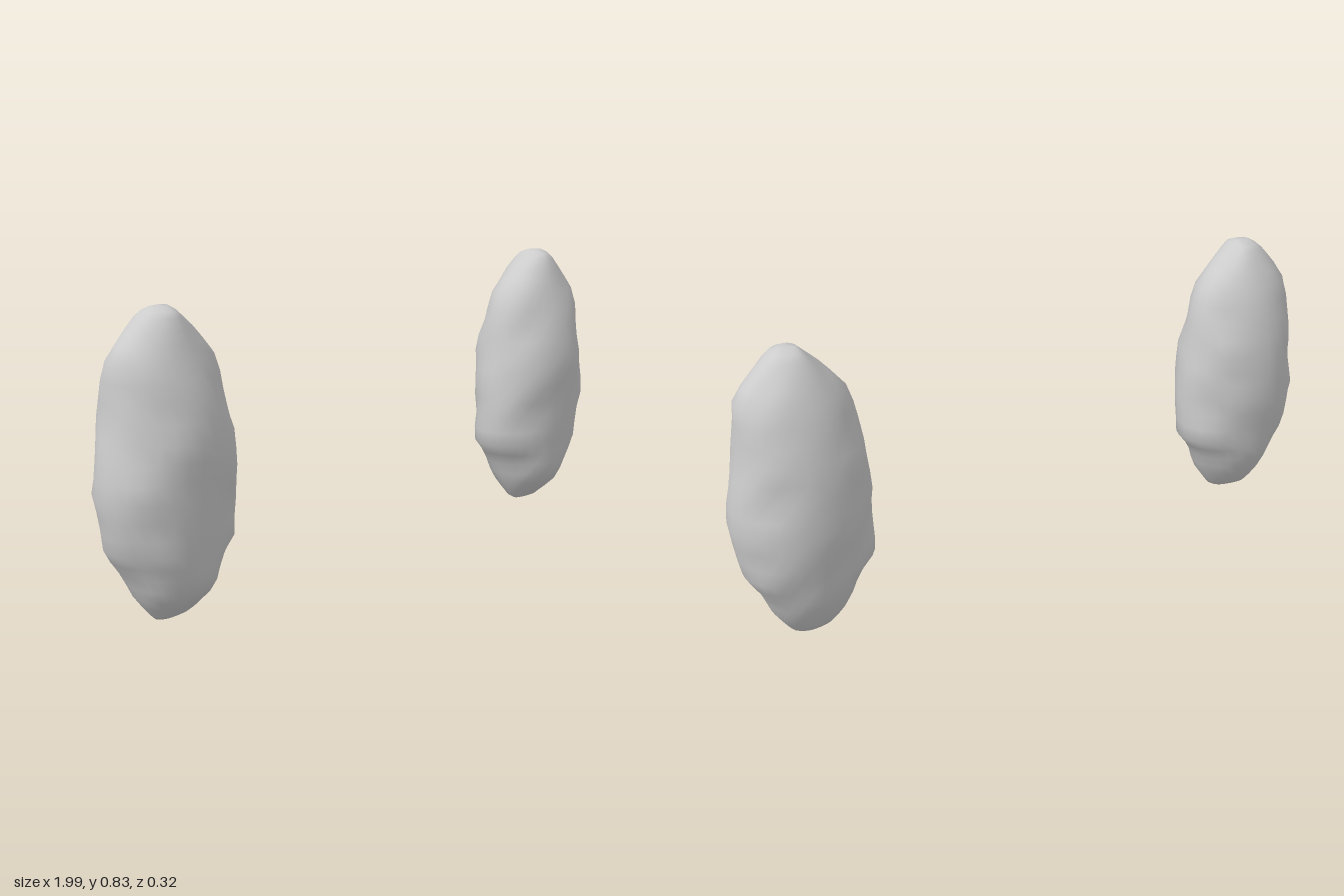
import * as THREE from 'three';

// Outline of one stone as [height, reach] pairs, bottom to top
const outer = [[0, 0.04], [0.01, 0.05], [0.06, 0.09], [0.13, 0.12], [0.2, 0.17], [0.36, 0.2], [0.55, 0.17], [0.71, 0.16], [0.77, 0.105], [0.815, 0.06], [0.832, 0.03]];
const inner = [[0, 0.07], [0.01, 0.09], [0.08, 0.14], [0.155, 0.165], [0.2, 0.212], [0.41, 0.215], [0.57, 0.19], [0.69, 0.165], [0.765, 0.1], [0.832, 0.025]];
const front = [[0, 0.02], [0.06, 0.095], [0.11, 0.125], [0.23, 0.14], [0.4, 0.155], [0.485, 0.162], [0.55, 0.15], [0.64, 0.13], [0.67, 0.118], [0.79, 0.075], [0.82, 0.06], [0.832, 0.03]];
const back = [[0, 0.03], [0.015, 0.058], [0.06, 0.09], [0.125, 0.127], [0.2, 0.14], [0.3, 0.156], [0.36, 0.161], [0.53, 0.155], [0.6, 0.138], [0.68, 0.12], [0.785, 0.07], [0.82, 0.045], [0.832, 0.014]];
const heights = [0, 0.012, 0.035, 0.065, 0.1, 0.135, 0.17, 0.205, 0.25, 0.3, 0.35, 0.4, 0.45, 0.5, 0.55, 0.6, 0.65, 0.7, 0.74, 0.775, 0.805, 0.822, 0.832];

function sample(profile, y) {
  for (let i = 1; i < profile.length; i++) {
    const [y0, r0] = profile[i - 1], [y1, r1] = profile[i];
    if (y <= y1) return r0 + (r1 - r0) * (y - y0) / (y1 - y0);
  }
  return profile[profile.length - 1][1];
}

// Shallow lumps, fading out toward the measured outlines
function lump(a, y) {
  const mask = 0.2 + 0.8 * Math.sin(2 * a) ** 2;
  const wave = Math.sin(3 * a + 17 * y) + 0.8 * Math.sin(5 * a - 25 * y + 1) + 0.6 * Math.sin(4 * a + 41 * y + 2);
  return 1 + 0.022 * mask * wave;
}

// Lofted stone; side is +1 for the left one and -1 for its mirror image
function makeStone(side) {
  const n = 28, rows = heights.length, pos = [], index = [];
  for (const y of heights) {
    for (let j = 0; j < n; j++) {
      const a = j / n * Math.PI * 2, c = Math.cos(a), s = Math.sin(a), k = lump(a, y);
      const x = 0.8 + c * k * sample(c > 0 ? outer : inner, y);
      pos.push(side * x, y, s * k * sample(s > 0 ? front : back, y));
    }
  }
  const tri = (a, b, c) => (side > 0 ? index.push(a, b, c) : index.push(a, c, b));
  for (let i = 0; i < rows - 1; i++) {
    for (let j = 0; j < n; j++) {
      const a = i * n + j, b = i * n + (j + 1) % n;
      tri(a, a + n, b);
      tri(b, a + n, b + n);
    }
  }
  // Blunt end caps
  const bottom = rows * n, top = bottom + 1, last = (rows - 1) * n;
  pos.push(side * 0.79, 0, 0, side * 0.803, 0.834, 0.008);
  for (let j = 0; j < n; j++) {
    const k = (j + 1) % n;
    tri(bottom, j, k);
    tri(top, last + k, last + j);
  }
  const geometry = new THREE.BufferGeometry();
  geometry.setAttribute('position', new THREE.Float32BufferAttribute(pos, 3));
  geometry.setIndex(index);
  geometry.computeVertexNormals();
  return geometry;
}

export function createModel() {
  const model = new THREE.Group();
  const material = new THREE.MeshStandardMaterial({ color: 0xcccccc });
  for (const side of [1, -1]) {
    const stone = new THREE.Mesh(makeStone(side), material);
    stone.name = side > 0 ? 'leftStone' : 'rightStone';
    model.add(stone);
  }
  return model;
}
